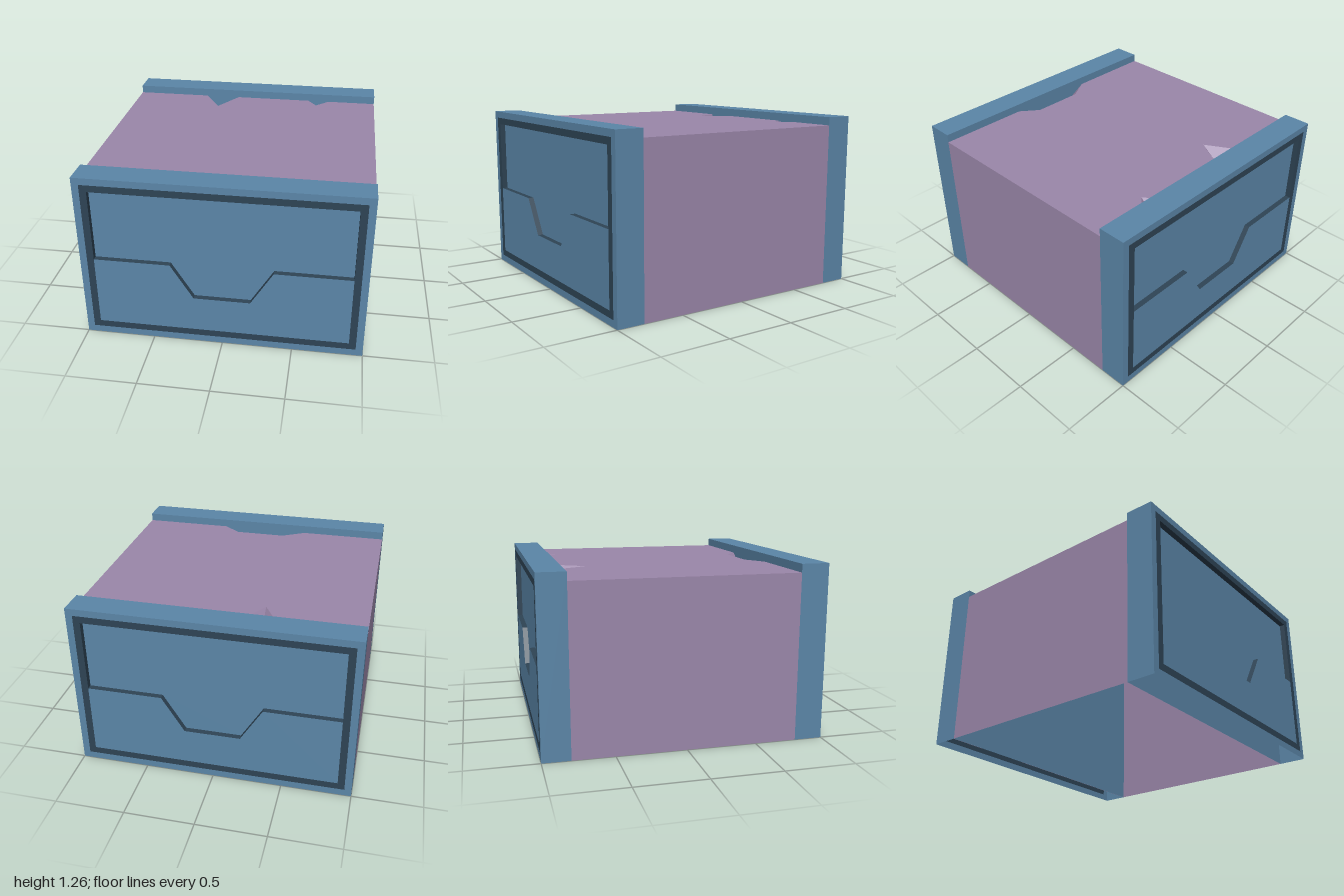
import * as THREE from 'three';

const material = (color) => new THREE.MeshStandardMaterial({ color, side: THREE.DoubleSide, flatShading: true });
const blue = material(0x5b86a8);
const purple = material(0x9b87aa);
const dark = material(0x2e4455);

function add(group, name, geometry, mat) {
  const mesh = new THREE.Mesh(geometry, mat);
  mesh.name = name;
  group.add(mesh);
  return mesh;
}

// Flat sheet from an outline, with an optional hole
function sheet(outline, hole) {
  const shape = new THREE.Shape(outline.map(([x, y]) => new THREE.Vector2(x, y)));
  if (hole) shape.holes.push(new THREE.Path(hole.map(([x, y]) => new THREE.Vector2(x, y))));
  return new THREE.ShapeGeometry(shape);
}

// Loose triangles, three points each
function triangles(points) {
  const g = new THREE.BufferGeometry();
  g.setAttribute('position', new THREE.Float32BufferAttribute(points.flat(), 3));
  g.computeVertexNormals();
  return g;
}

const rect = (x, y0, y1) => [[-x, y0], [x, y0], [x, y1], [-x, y1]];

// Walls that follow a path in xy, from depth z0 to z1
function walls(path, z0, z1) {
  const pts = [];
  for (let i = 0; i < path.length - 1; i++) {
    const [a, b] = [path[i], path[i + 1]];
    pts.push([...a, z1], [...a, z0], [...b, z0], [...a, z1], [...b, z0], [...b, z1]);
  }
  return triangles(pts);
}

// Hollow end frame, open below, with a stepped panel
function endFrame(name) {
  const g = new THREE.Group();
  g.name = name;
  const step = [[-0.9, 0.63], [-0.36, 0.63], [-0.2, 0.37], [0.2, 0.37], [0.36, 0.63], [0.9, 0.63]];
  const upper = [...step, [0.9, 1.16], [-0.9, 1.16]];
  const lower = [[-0.9, 0.1], [0.9, 0.1], ...[...step].reverse()];
  const rim = rect(1, 0, 1.26), grooveOuter = rect(0.95, 0.05, 1.21), grooveInner = rect(0.9, 0.1, 1.16);

  add(g, 'frameShell', walls([[1, 0], [1, 1.26], [-1, 1.26], [-1, 0]], 0.8, 1), blue);
  add(g, 'frameInnerWall', sheet(rim), blue).position.z = 0.8;
  add(g, 'frameRim', sheet(rim, grooveOuter), blue).position.z = 1;
  add(g, 'darkBorder', sheet(grooveOuter, grooveInner), dark).position.z = 1;
  add(g, 'lowerPanel', sheet(lower), blue).position.z = 1;
  add(g, 'upperPanel', sheet(upper), blue).position.z = 0.96;
  add(g, 'panelStep', walls([...upper, upper[0]], 0.96, 1), dark);
  return g;
}

export function createModel() {
  const model = new THREE.Group();
  const H = 1.2, Z = 0.8;

  // End frames, mirrored front to back
  const front = endFrame('frontFrame');
  const back = endFrame('backFrame');
  back.rotation.y = Math.PI;
  model.add(front, back);

  // Body: two side walls, open below
  const body = new THREE.Group();
  body.name = 'body';
  for (const s of [-1, 1]) {
    add(body, s > 0 ? 'leftWall' : 'rightWall', walls([[s, 0], [s, H]], -Z, Z), purple);
  }

  // Dents along the ends of the top: rim points (x, z) and a low point (x, y, z)
  const dents = [
    { rim: [[-0.42, -Z], [-0.29, -0.57], [-0.15, -Z]], low: [-0.29, H - 0.18, -Z + 0.002] },
    { rim: [[0.45, -Z], [0.52, -0.7], [0.62, -Z]], low: [0.52, H - 0.09, -Z + 0.002] },
    { rim: [[0.33, Z], [0.2, 0.7], [-0.18, 0.7], [-0.35, Z]], low: [0, H - 0.2, Z - 0.002] },
  ];
  const outline = [[-1, -Z], ...dents[0].rim, ...dents[1].rim, [1, -Z], [1, Z], ...dents[2].rim, [-1, Z]];
  const top = sheet(outline.map(([x, z]) => [x, -z]).reverse());
  add(body, 'top', top.rotateX(-Math.PI / 2).translate(0, H, 0), purple);
  for (const { rim, low } of dents) {
    const pts = [];
    for (let i = 0; i < rim.length - 1; i++) {
      const [a, b] = [rim[i], rim[i + 1]];
      pts.push([a[0], H, a[1]], low, [b[0], H, b[1]]);
    }
    add(body, 'topDent', triangles(pts), purple);
  }

  // Back end wall, inside the back frame, with a chip in its lower edge
  const endWall = [[-1, 0], [-0.72, 0], [-0.36, 0.13], [-0.31, 0], [1, 0], [1, H], [-1, H]];
  add(body, 'backEndWall', sheet(endWall), purple).position.z = -Z - 0.003;
  model.add(body);
  return model;
}
